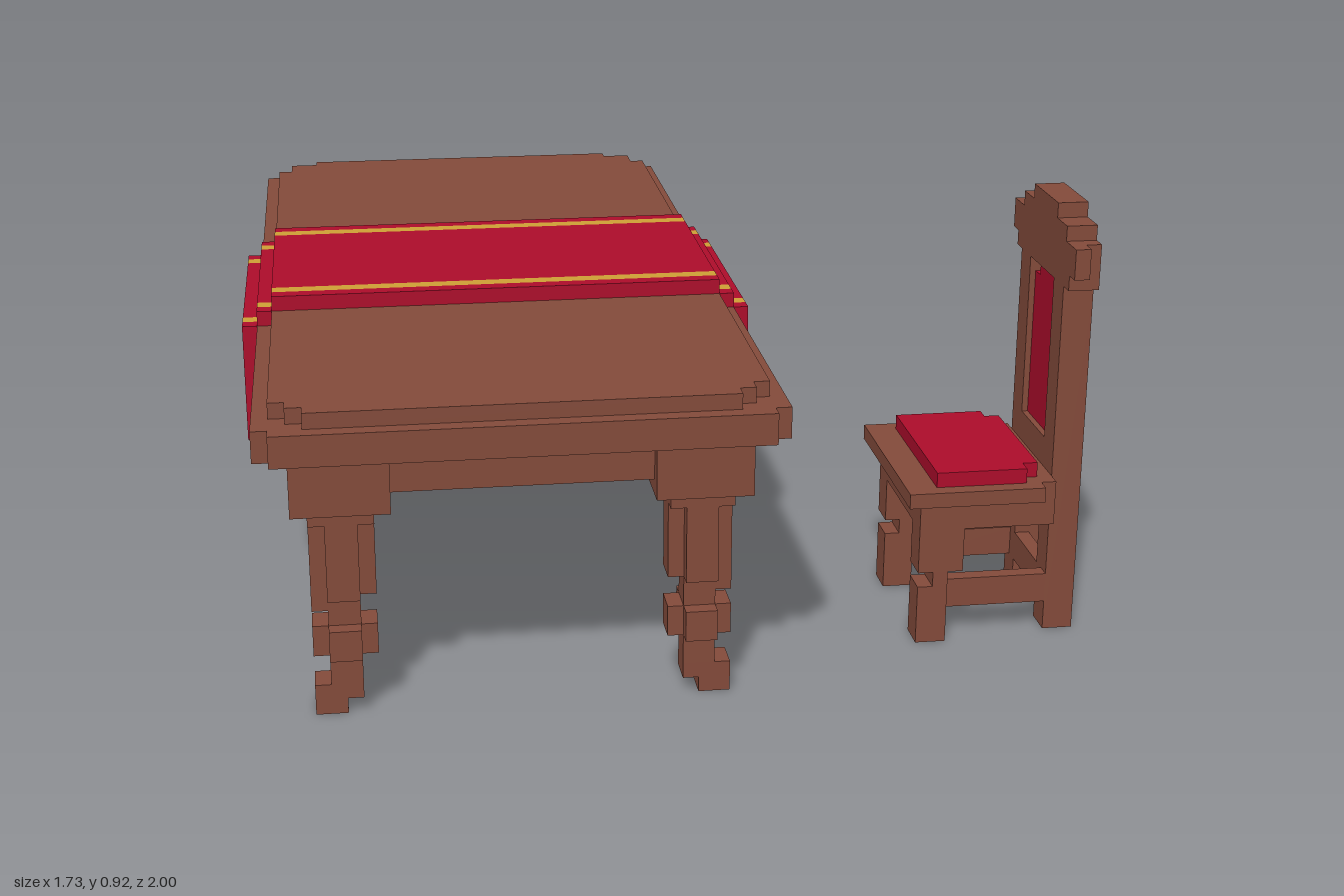
import * as THREE from 'three';

const V = 2 / 63; // one block

export function createModel() {
  const mat = (name, color) => {
    const m = new THREE.MeshStandardMaterial({ color });
    m.name = name;
    return m;
  };
  const wood = mat('brownWood', 0x844b3b);
  const red = mat('redCloth', 0xae0d2b);
  const gold = mat('goldTrim', 0xcfa036);

  const model = new THREE.Group();
  model.name = 'diningSet';
  const part = (parent, name, x = 0) => {
    const g = new THREE.Group();
    g.name = name;
    g.position.x = x;
    parent.add(g);
    return g;
  };
  // Box from block ranges along x, y and z; z counts from the back edge
  const box = (g, name, material, x0, x1, y0, y1, z0, z1) => {
    const m = new THREE.Mesh(
      new THREE.BoxGeometry((x1 - x0) * V, (y1 - y0) * V, (z1 - z0) * V), material);
    m.position.set((x0 + x1) / 2 * V, (y0 + y1) / 2 * V, (z0 + z1) / 2 * V - 1);
    m.name = name;
    g.add(m);
  };

  // Table
  const table = part(model, 'table', -0.8645);

  // Slab and raised top, with stepped corners
  for (const [x0, x1, z0, z1] of [[4, 30, 0, 1], [2, 32, 1, 2], [1, 33, 2, 62], [2, 32, 62, 63]])
    box(table, 'tableSlab', wood, x0, x1, 18, 20, z0, z1);
  for (const [x0, x1, z0, z1] of [[5, 29, 1, 2], [3, 31, 2, 4], [2, 32, 4, 60], [3, 31, 60, 61], [4, 30, 61, 62]])
    box(table, 'tableTop', wood, x0, x1, 20, 21, z0, z1);
  box(table, 'tableApron', wood, 4, 30, 15, 18, 3, 60);

  // Turned legs: mirrored across x, repeated along z
  for (const side of [-1, 1]) for (const [back, shaft] of [[2, 4], [54, 56]]) {
    const leg = part(table, 'tableLeg');
    const block = (name, x0, x1, y0, y1, z0, z1) => side < 0
      ? box(leg, name, wood, x0, x1, y0, y1, z0, z1)
      : box(leg, name, wood, 34 - x1, 34 - x0, y0, y1, z0, z1);
    block('legCollar', 3, 9, 14, 18, back, back + 7);
    block('legNeck', 4, 8, 13, 14, shaft, shaft + 4);
    // cross-shaped shaft
    block('legShaft', 4, 8, 8, 13, shaft + 1, shaft + 3);
    block('legShaft', 5, 7, 8, 13, shaft, shaft + 4);
    block('legTaper', 4, 7, 7, 8, shaft + 1, shaft + 3);
    block('legTaper', 5, 7, 6, 7, shaft + 1, shaft + 3);
    // knob
    block('legKnob', 4, 8, 4, 6, shaft + 1, shaft + 3);
    block('legKnob', 5, 7, 4, 6, shaft, shaft + 4);
    // ankle and outward foot
    block('legAnkle', 5, 7, 2, 4, shaft + 1, shaft + 3);
    block('legFoot', 4, 7, 1, 2, shaft + 1, shaft + 3);
    block('legFoot', 4, 6, 0, 1, shaft + 1, shaft + 3);
  }

  // Runner, in strips across the table
  const runner = part(table, 'tableRunner');
  for (const [z0, z1, m] of [[25, 26, red], [26, 27, gold], [27, 40, red], [40, 41, gold], [41, 42, red]]) {
    box(runner, 'runnerTop', m, 2, 32, 21, 22, z0, z1);
    for (const x of [0, 33]) {
      const shoulder = x ? 32 : 1;
      box(runner, 'runnerShoulder', m, shoulder, shoulder + 1, 20, 21, z0, z1);
      box(runner, 'runnerDrape', m, x, x + 1, 14, 20, z0, z1);
    }
  }
  for (const x of [0, 33]) {
    box(runner, 'runnerHemGold', gold, x, x + 1, 13, 14, 26, 41);
    box(runner, 'runnerHem', red, x, x + 1, 12, 13, 25, 42);
    for (const z of [25, 41]) box(runner, 'runnerHem', red, x, x + 1, 13, 14, z, z + 1);
  }

  // Chair, facing the table
  const chair = part(model, 'chair', 0.4805);
  box(chair, 'seat', wood, 0, 9, 10, 11, 42, 55);
  box(chair, 'seat', wood, 9, 10, 10, 11, 43, 54);
  box(chair, 'seatCushion', red, 2, 8, 11, 12, 43, 54);
  box(chair, 'seatCushion', red, 8, 9, 11, 12, 44, 53);
  box(chair, 'seatApron', wood, 1, 10, 8, 10, 43, 54);

  for (const [z, post, rail] of [[43, 44, 44], [52, 51, 52]]) {
    // front leg
    box(chair, 'chairFrontLeg', wood, 1, 4, 5, 8, z, z + 2);
    box(chair, 'chairFrontLeg', wood, 2, 3, 4, 5, z, z + 2);
    box(chair, 'chairFrontLeg', wood, 1, 3, 0, 4, z, z + 2);
    // rear post and side stretcher
    box(chair, 'chairRearPost', wood, 10, 12, 0, 24, post, post + 2);
    box(chair, 'chairStretcher', wood, 3, 10, 2, 4, rail, rail + 1);
  }
  box(chair, 'chairRearStretcher', wood, 10, 11, 2, 4, 46, 51);

  // Backrest with an upholstered panel
  box(chair, 'backPanel', wood, 11, 12, 8, 24, 46, 51);
  box(chair, 'backLowerRail', wood, 10, 11, 8, 13, 46, 51);
  box(chair, 'backCushion', red, 10.4, 11, 13, 23, 46, 51);
  box(chair, 'backCushion', red, 10.4, 11, 23, 24, 47, 50);

  // Stepped crest
  for (const [y0, y1, z0, z1] of [[24, 25, 43, 54], [25, 27, 42, 54], [27, 28, 44, 53], [28, 29, 46, 51]])
    box(chair, 'backCrest', wood, 10, 12, y0, y1, z0, z1);
  box(chair, 'backCrest', wood, 10, 11, 25, 27, 54, 55);

  return model;
}
